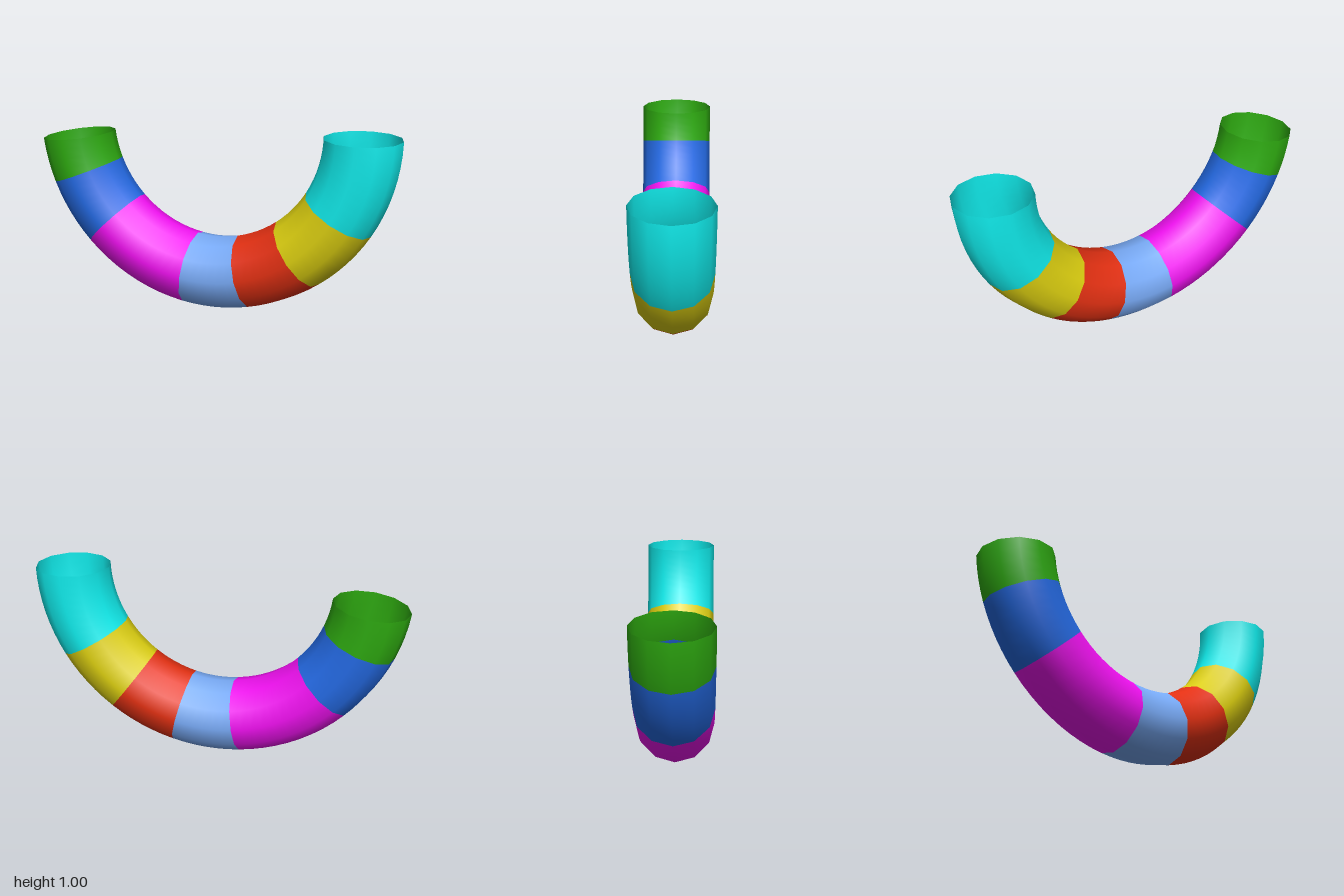
import * as THREE from 'three';

const BEND_RADIUS = 0.8027;
const TUBE_RADIUS = 0.2007;
const SIDES = 12;

// Ring pieces: name, colour, and the angle (degrees below +x) where each ends
const SECTIONS = [
  ['cyanSection', 0x10ecec, 30.1],
  ['yellowSection', 0xdccf10, 53],
  ['redSection', 0xe23012, 75.8],
  ['lightBlueSection', 0x78aaf6, 98.2],
  ['magentaSection', 0xf010f0, 135.8],
  ['blueSection', 0x246ae4, 158.5],
  ['greenSection', 0x2eaa10, 173.4],
];

export function createModel() {
  const model = new THREE.Group();
  model.name = 'segmentedTube';

  // Open-ended curved tube sections laid end to end around one bend
  let start = 0;
  for (const [name, color, end] of SECTIONS) {
    const arc = THREE.MathUtils.degToRad(end - start);
    const steps = Math.max(4, Math.round((end - start) / 4));
    const geometry = new THREE.TorusGeometry(BEND_RADIUS, TUBE_RADIUS, SIDES, steps, arc);
    geometry.rotateZ(-THREE.MathUtils.degToRad(end));
    const material = new THREE.MeshStandardMaterial({ color, side: THREE.DoubleSide });
    const section = new THREE.Mesh(geometry, material);
    section.name = name;
    section.position.set(-0.0033, 1.001, 0);
    model.add(section);
    start = end;
  }
  return model;
}
